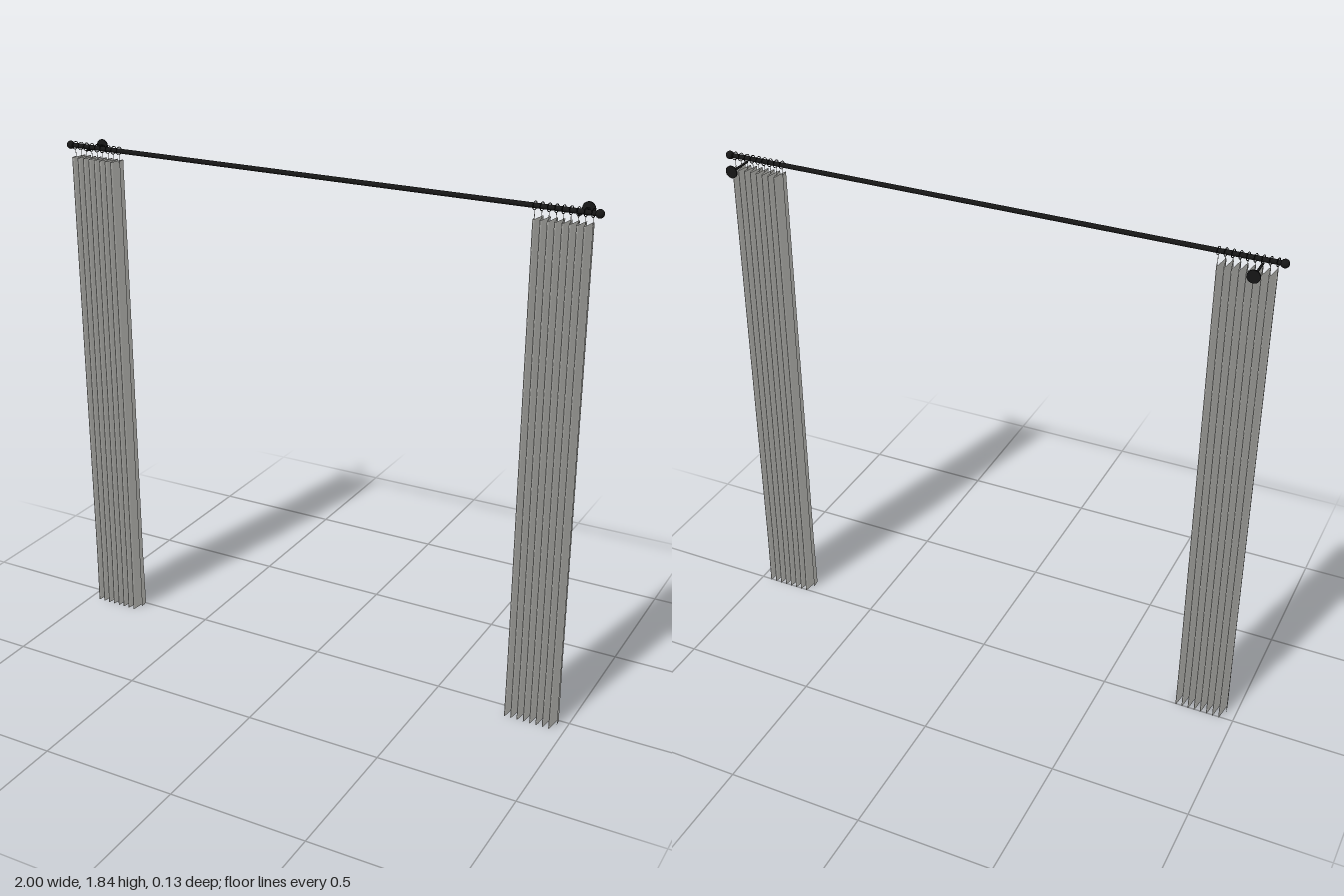
import * as THREE from 'three';

export function createModel() {
  const model = new THREE.Group();
  const black = new THREE.MeshStandardMaterial({ name: 'black metal', color: 0x161616 });
  const fabric = new THREE.MeshStandardMaterial({ name: 'pale grey fabric', color: 0xd8d8d3, side: THREE.DoubleSide });

  const ROD_Y = 1.83, ROD_Z = 0.031, TOP = 1.793;
  const FOLDS = 8, WIDTH = 0.188, DEPTH = 0.0315, CENTRE = 0.871;

  function add(parent, name, geometry, material, x, y, z) {
    const mesh = new THREE.Mesh(geometry, material);
    mesh.name = name;
    mesh.position.set(x, y, z);
    parent.add(mesh);
    return mesh;
  }

  // Pleated sheet: a sine wave across the width, opening slightly at the hem
  function pleatedSheet() {
    const geo = new THREE.PlaneGeometry(WIDTH, TOP, FOLDS * 10, 16);
    geo.translate(0, TOP / 2, 0);
    const p = geo.attributes.position;
    for (let i = 0; i < p.count; i++) {
      const phase = (p.getX(i) / WIDTH + 0.5) * FOLDS * Math.PI * 2;
      const flare = 1 + 0.13 * Math.max(0, 1 - p.getY(i) / 0.2);
      p.setZ(i, DEPTH * flare * Math.sin(phase));
    }
    geo.computeVertexNormals();
    return geo;
  }

  // Curtain rod with round finials
  add(model, 'rod', new THREE.CylinderGeometry(0.0085, 0.0085, 1.97, 20), black, 0, ROD_Y, ROD_Z)
    .rotation.z = Math.PI / 2;

  const sheet = pleatedSheet();
  const ring = new THREE.TorusGeometry(0.0135, 0.0014, 6, 20);
  const hook = new THREE.CylinderGeometry(0.001, 0.001, 0.03, 6);

  for (const side of [-1, 1]) {
    const label = side > 0 ? 'left' : 'right';
    add(model, label + 'Finial', new THREE.SphereGeometry(0.0145, 20, 14), black, side * 0.9855, ROD_Y, ROD_Z);

    // Wall bracket: arm behind the rod ending in a round plate
    const bracket = new THREE.Group();
    bracket.name = label + 'Bracket';
    bracket.position.set(side * 0.918, 1.816, 0);
    add(bracket, 'arm', new THREE.CylinderGeometry(0.004, 0.004, 0.096, 12), black, 0, 0, -0.017)
      .rotation.x = Math.PI / 2;
    add(bracket, 'wallPlate', new THREE.CylinderGeometry(0.022, 0.022, 0.005, 24), black, 0, 0, -0.0655)
      .rotation.x = Math.PI / 2;
    model.add(bracket);

    // Curtain with one ring and hook for each fold
    const curtain = new THREE.Group();
    curtain.name = label + 'Curtain';
    curtain.position.set(side * CENTRE, 0, ROD_Z);
    add(curtain, 'pleatedPanel', sheet, fabric, 0, 0, 0);
    for (let i = 0; i <= FOLDS; i++) {
      const x = (i / FOLDS - 0.5) * WIDTH;
      add(curtain, 'ring', ring, black, x, ROD_Y, 0).rotation.y = Math.PI / 2 - 0.15;
      add(curtain, 'hook', hook, fabric, x, TOP + 0.01, 0);
    }
    model.add(curtain);
  }
  return model;
}
